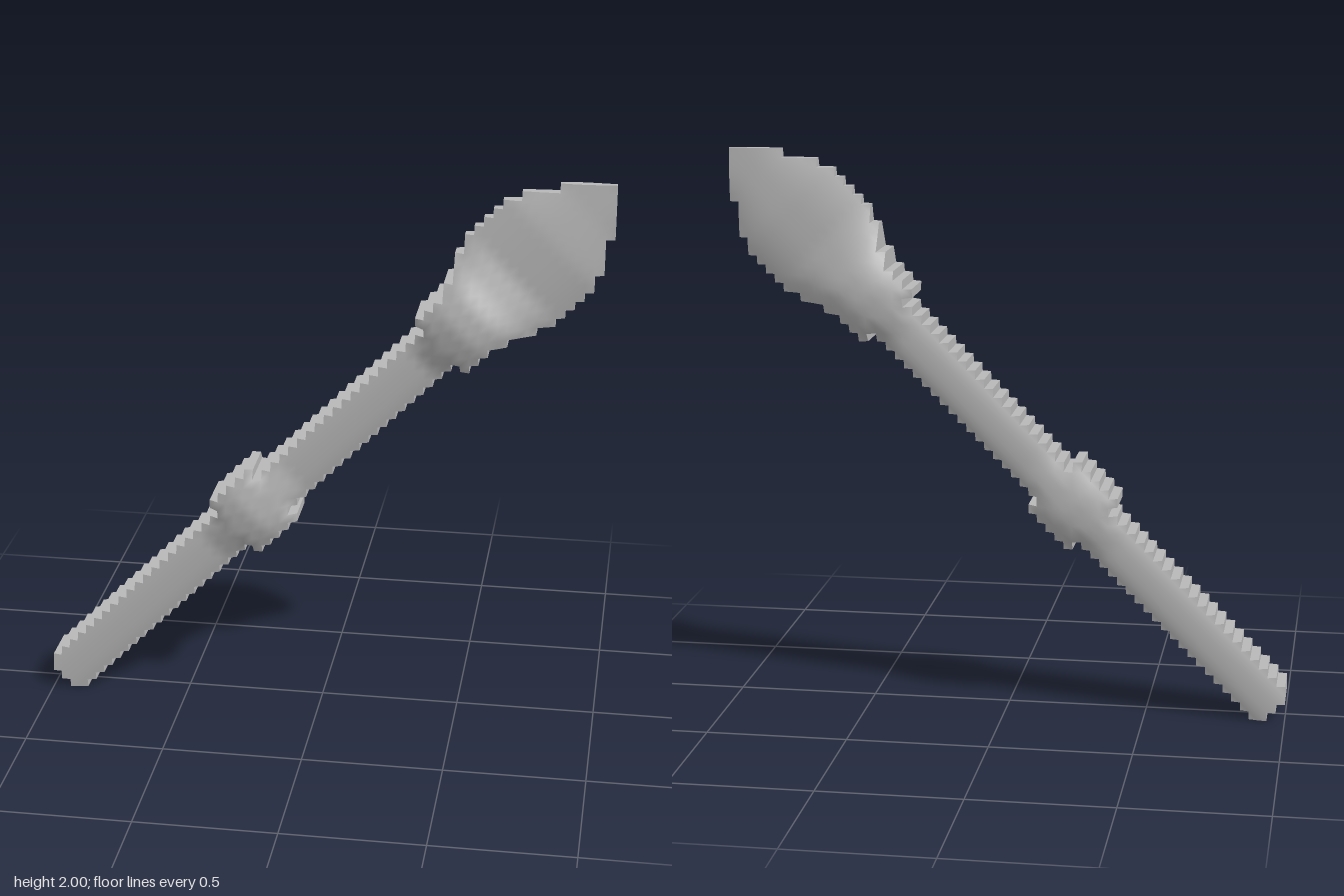
import * as THREE from 'three';

const N = 63;            // cells along each side of the stepped grid
const CELL = 2 / N;

// Rows along the diagonal: [position, half width in cells, ridge depth, edge depth]
const PROFILE = [
  [0, 3, 0.093, 0.078], [39, 3, 0.096, 0.078], [43.5, 3, 0.122, 0.085],
  [43.6, 5, 0.123, 0.085], [48, 5, 0.137, 0.095], [52.4, 5, 0.12, 0.085],
  [52.5, 3, 0.12, 0.085], [57, 3, 0.096, 0.078], [86, 3, 0.096, 0.078],
  [89.4, 3, 0.125, 0.085], [89.5, 5.2, 0.126, 0.09], [94, 5.6, 0.147, 0.09],
  [98, 6.5, 0.135, 0.06], [101, 8.4, 0.09, 0.02], [105, 9.4, 0.053, 0.014],
  [113, 9.3, 0.048, 0.012], [115, 8.3, 0.042, 0.011], [120, 5.3, 0.024, 0.008],
  [126, 5, 0.009, 0.005],
];

function sample(s, column) {
  let k = 1;
  while (k < PROFILE.length - 1 && PROFILE[k][0] < s) k++;
  const a = PROFILE[k - 1], b = PROFILE[k];
  const t = THREE.MathUtils.clamp((s - a[0]) / (b[0] - a[0]), 0, 1);
  return a[column] + (b[column] - a[column]) * t;
}

// Is a grid cell inside the stepped outline?
function filled(i, j) {
  if (i < 0 || j < 0 || i >= N || j >= N || i + j < 2) return false;
  return Math.abs(j - i) <= sample(i + j + 1, 1);
}

// Half thickness at a grid point, rounded across the diagonal
function depth(i, j) {
  const s = i + j;
  const t = Math.min(1, Math.abs(j - i) / (sample(s, 1) + 1));
  const edge = sample(s, 3);
  return edge + (sample(s, 2) - edge) * (1 - t ** 2.5);
}

const px = (i) => i * CELL - 1;
const py = (j) => j * CELL;

function makeGeometry(positions, normals) {
  const g = new THREE.BufferGeometry();
  g.setAttribute('position', new THREE.Float32BufferAttribute(positions, 3));
  if (normals) g.setAttribute('normal', new THREE.Float32BufferAttribute(normals, 3));
  else g.computeVertexNormals();
  return g;
}

// One section of the spear: smooth front and back faces plus stepped side walls
function makePart(name, from, to, material) {
  const facePos = [], faceNor = [], wallPos = [];

  const addFacePoint = (i, j, side) => {
    const e = 0.7;
    const n = new THREE.Vector3(
      -(depth(i + e, j) - depth(i - e, j)) / (2 * e * CELL),
      -(depth(i, j + e) - depth(i, j - e)) / (2 * e * CELL), 1).normalize();
    facePos.push(px(i), py(j), side * depth(i, j));
    faceNor.push(n.x, n.y, side * n.z);
  };

  for (let i = 0; i < N; i++) {
    for (let j = 0; j < N; j++) {
      const s = i + j + 1;
      if (s < from || s >= to || !filled(i, j)) continue;
      const c = [[i, j], [i + 1, j], [i + 1, j + 1], [i, j + 1]];

      for (const k of [0, 1, 2, 0, 2, 3]) addFacePoint(...c[k], 1);
      for (const k of [0, 2, 1, 0, 3, 2]) addFacePoint(...c[k], -1);

      // Wall wherever the neighbouring cell is empty
      const neighbours = [[i, j - 1], [i + 1, j], [i, j + 1], [i - 1, j]];
      neighbours.forEach((n, k) => {
        if (filled(...n)) return;
        const a = c[k], b = c[(k + 1) % 4];
        const za = depth(...a), zb = depth(...b);
        const q = [
          [px(a[0]), py(a[1]), za], [px(a[0]), py(a[1]), -za],
          [px(b[0]), py(b[1]), -zb], [px(b[0]), py(b[1]), zb],
        ];
        for (const v of [0, 1, 2, 0, 2, 3]) wallPos.push(...q[v]);
      });
    }
  }

  const part = new THREE.Group();
  part.name = name;
  const faces = new THREE.Mesh(makeGeometry(facePos, faceNor), material);
  faces.name = name + 'Faces';
  const walls = new THREE.Mesh(makeGeometry(wallPos), material);
  walls.name = name + 'Walls';
  part.add(faces, walls);
  return part;
}

export function createModel() {
  const grey = new THREE.MeshStandardMaterial({ color: 0xb8b8b8 });
  grey.name = 'plain grey';

  const spear = new THREE.Group();
  spear.name = 'spear';
  spear.add(
    makePart('lowerShaft', 0, 44, grey),
    makePart('gripCollar', 44, 53, grey),
    makePart('upperShaft', 53, 90, grey),
    makePart('headSocket', 90, 100, grey),
    makePart('blade', 100, 200, grey),
  );
  return spear;
}
